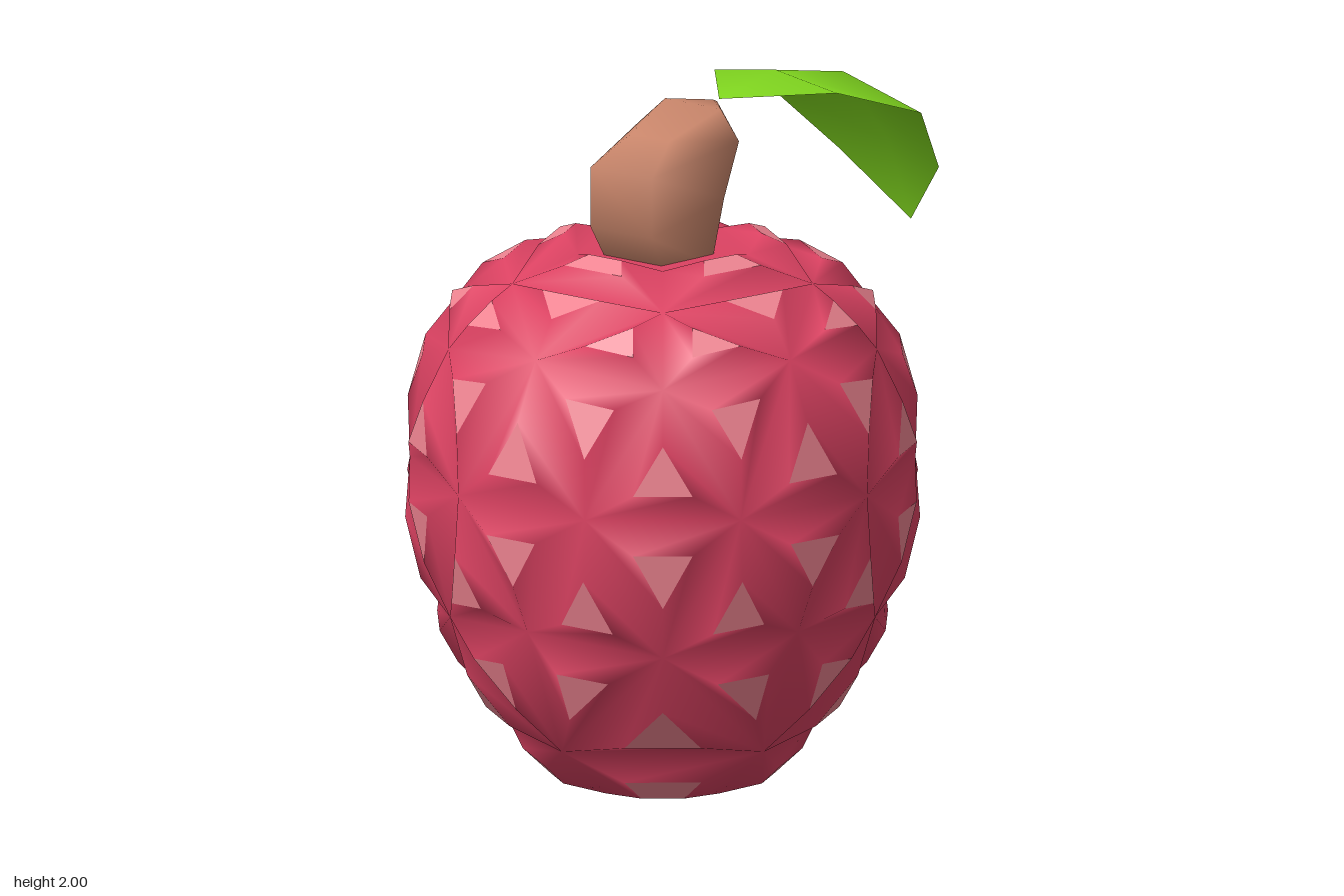
import * as THREE from 'three';
import { mergeVertices } from 'three/addons/utils/BufferGeometryUtils.js';

const V = (x, y, z) => new THREE.Vector3(x, y, z);
const CX = -0.25;

// Point on a ring around the fruit's axis; k counts steps of 36 degrees from +x
const ring = (k, r, y) => V(CX + r * Math.cos(k * Math.PI / 5), y, r * Math.sin(k * Math.PI / 5));

// Corner order that makes a convex polygon face away from a centre
function outward(poly, centre) {
  const n = V().crossVectors(poly[1].clone().sub(poly[0]), poly[2].clone().sub(poly[0]));
  const mid = poly.reduce((s, p) => s.add(p), V(0, 0, 0)).divideScalar(poly.length);
  return n.dot(mid.sub(centre)) < 0 ? [...poly].reverse() : poly;
}

// Mesh from convex polygons, each cut into a fan of triangles
function polyMesh(name, polys, color, options = {}) {
  const pts = [];
  for (const p of polys)
    for (let i = 1; i < p.length - 1; i++) pts.push(p[0], p[i], p[i + 1]);
  let geo = new THREE.BufferGeometry().setFromPoints(pts);
  if (!options.flatShading) geo = mergeVertices(geo, 1e-4);
  geo.computeVertexNormals();
  const mesh = new THREE.Mesh(geo, new THREE.MeshStandardMaterial({ color, ...options }));
  mesh.name = name;
  return mesh;
}

// Geodesic facets of one half; odd = 0 for the upper half, 1 for the lower
function halfFacets(odd, s) {
  const facets = [], caps = [];
  const E = k => ring(k, 0.735, 0.96);
  const A = k => (((k + odd) % 2 + 2) % 2 === 0 ? ring(k, ...s.corner) : ring(k, ...s.middle));
  const R = k => ring(k, ...s.shoulder);
  const P = k => ring(k, ...s.rim);
  const pole = V(CX, s.pole, 0);
  for (let k = 0; k < 10; k++) {
    facets.push([E(k - 0.5), E(k + 0.5), A(k)], [A(k), A(k + 1), E(k + 0.5)]);
    if ((k + odd) % 2 === 0) {
      facets.push([A(k - 1), A(k), R(k)], [A(k), A(k + 1), R(k)]);
    } else {
      facets.push([A(k), R(k - 1), R(k + 1)], [R(k - 1), R(k + 1), P(k + 1), P(k - 1)]);
      caps.push([P(k - 1), P(k + 1), pole]);
    }
  }
  return { facets, caps };
}

function makeFruit() {
  const centre = V(CX, 0.9, 0);
  const halves = [
    halfFacets(0, { corner: [0.655, 1.34], middle: [0.63, 1.39], shoulder: [0.46, 1.52], rim: [0.26, 1.59], pole: 1.57 }),
    halfFacets(1, { corner: [0.67, 0.58], middle: [0.65, 0.53], shoulder: [0.5, 0.18], rim: [0.28, 0.005], pole: 0 }),
  ];
  const skin = [], studs = [];
  for (const { facets, caps } of halves) {
    caps.forEach(c => skin.push(outward(c, centre)));
    for (const facet of facets) {
      // Each facet rises to a small raised pale face
      const p = outward(facet, centre);
      const mid = p.reduce((s, q) => s.add(q), V(0, 0, 0)).divideScalar(p.length);
      const n = V().crossVectors(p[1].clone().sub(p[0]), p[2].clone().sub(p[0])).normalize();
      const top = p.map(q => {
        const t = mid.clone().lerp(q, 0.38).addScaledVector(n, 0.06);
        t.y = Math.max(t.y, 0);
        return t;
      });
      studs.push(top);
      p.forEach((q, i) => {
        const j = (i + 1) % p.length;
        skin.push([q, p[j], top[j], top[i]]);
      });
    }
  }
  const fruit = new THREE.Group();
  fruit.name = 'fruit';
  fruit.add(
    polyMesh('skin', skin, 0xdc4262),
    polyMesh('skinStuds', studs, 0xf08592, { flatShading: true }),
  );
  return fruit;
}

// Five-sided stem leaning towards +x, each ring given by its front tip and two mirrored pairs
function makeStem() {
  const rings = [
    [[-0.09, 1.55, 0], [-0.2, 1.55, 0.14], [-0.38, 1.55, 0.1]],
    [[-0.09, 1.78, 0], [-0.18, 1.75, 0.17], [-0.455, 1.68, 0.11]],
    [[0.02, 1.97, 0], [-0.12, 1.91, 0.18], [-0.455, 1.86, 0.11]],
    [[0.0, 1.98, 0], [-0.1, 1.99, 0.1], [-0.31, 1.935, 0.07]],
  ].map(([a, b, c]) => [V(...a), V(...b), V(...c), V(c[0], c[1], -c[2]), V(b[0], b[1], -b[2])]);
  const polys = [[...rings[3]].reverse(), rings[0]];
  for (let r = 0; r < 3; r++)
    for (let i = 0; i < 5; i++) {
      const j = (i + 1) % 5;
      polys.push([rings[r][i], rings[r + 1][i], rings[r + 1][j], rings[r][j]]);
    }
  return polyMesh('stem', polys, 0xc8856a);
}

// Drooping leaf: raised midrib with two mirrored edges
function makeLeaf() {
  // x, midrib y, edge y, half width
  const ribs = [
    [0.03, 1.975, 1.975, 0],
    [0.31, 2.0, 1.965, 0.22],
    [0.645, 1.92, 1.84, 0.28],
    [0.87, 1.66, 1.61, 0.18],
    [0.98, 1.4, 1.4, 0],
  ];
  const polys = [];
  for (let i = 0; i < ribs.length - 1; i++) {
    const [x0, m0, e0, w0] = ribs[i], [x1, m1, e1, w1] = ribs[i + 1];
    for (const s of [1, -1]) {
      const a = V(x0, m0, 0), b = V(x0, e0, s * w0), c = V(x1, e1, s * w1), d = V(x1, m1, 0);
      const quad = w0 === 0 ? [a, c, d] : w1 === 0 ? [a, b, c] : [a, b, c, d];
      polys.push(s > 0 ? quad : quad.reverse());
    }
  }
  return polyMesh('leaf', polys, 0x84dc20, { side: THREE.DoubleSide });
}

export function createModel() {
  const model = new THREE.Group();
  model.name = 'lychee';
  model.add(makeFruit(), makeStem(), makeLeaf());
  return model;
}
